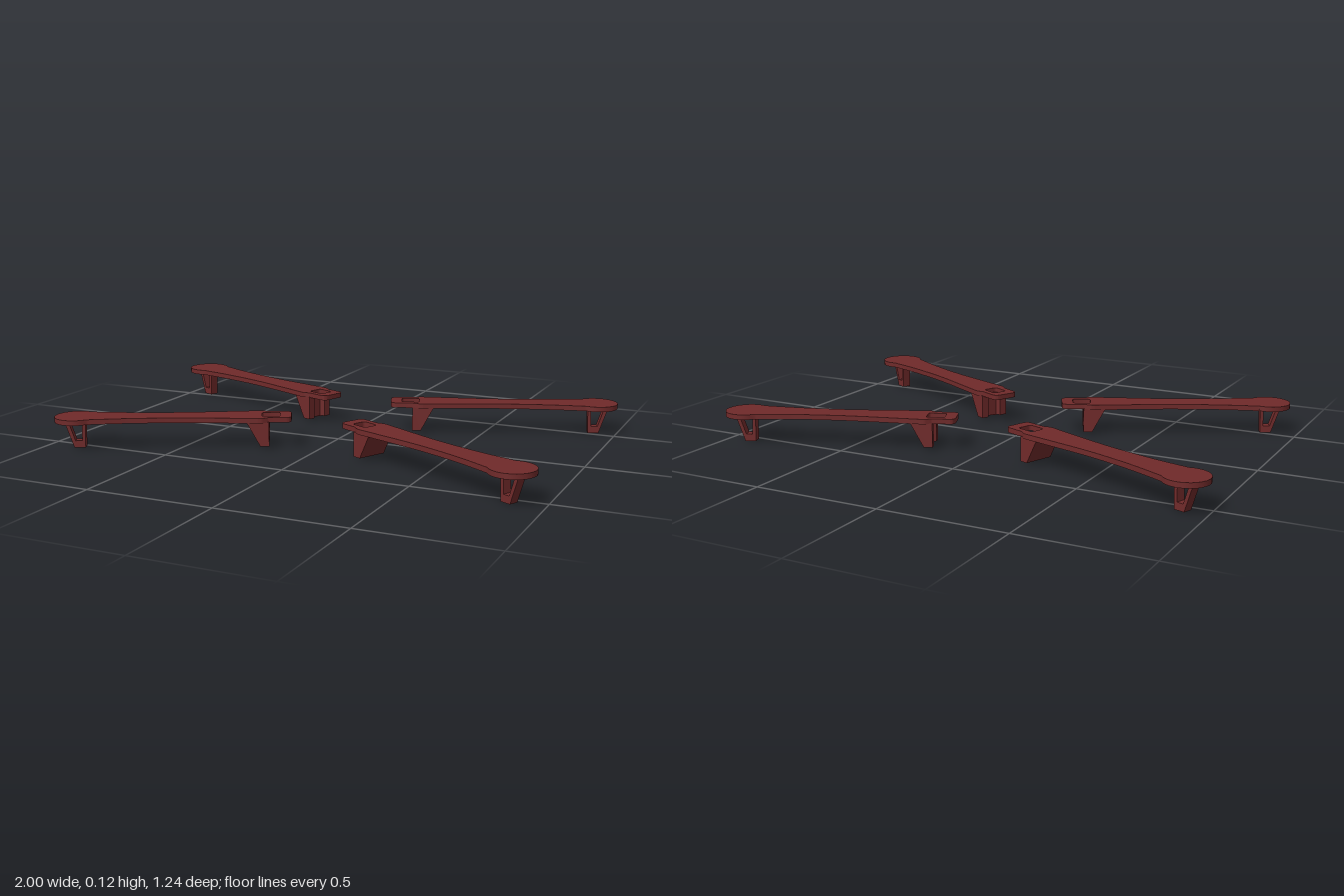
import * as THREE from 'three';
import { toCreasedNormals } from 'three/addons/utils/BufferGeometryUtils.js';

const LENGTH = 0.84;      // inner tip to centre of the round end pad
const PLATE_Y = 0.104, PLATE_T = 0.02;
const material = new THREE.MeshStandardMaterial({ color: 0x702a2a });

// Extrudes a plan-view shape upwards: x along the arm, y up
function extrudeUp(shape, height, y) {
  const geo = new THREE.ExtrudeGeometry(shape, { depth: height, bevelEnabled: false, curveSegments: 10 });
  geo.rotateX(-Math.PI / 2).translate(0, y, 0);
  return geo;
}

function part(name, geometry) {
  const mesh = new THREE.Mesh(toCreasedNormals(geometry, 0.6), material);
  mesh.name = name;
  return mesh;
}

// Waisted plate: slotted tab, shoulders, narrow middle and round end pad
function plateGeometry() {
  const s = new THREE.Shape();
  const v = (x, y) => new THREE.Vector2(x, y);
  s.moveTo(0, -0.03);
  s.quadraticCurveTo(0, -0.055, 0.025, -0.055);
  s.lineTo(0.085, -0.055);
  s.bezierCurveTo(0.1, -0.055, 0.1, -0.068, 0.13, -0.068);
  s.splineThru([v(0.2, -0.063), v(0.43, -0.049), v(0.63, -0.053), v(LENGTH - 0.05, -0.069)]);
  s.absarc(LENGTH, 0, 0.085, -2.198, 2.198, false);
  s.splineThru([v(0.63, 0.053), v(0.43, 0.049), v(0.2, 0.063), v(0.13, 0.068)]);
  s.bezierCurveTo(0.1, 0.068, 0.1, 0.055, 0.085, 0.055);
  s.lineTo(0.025, 0.055);
  s.quadraticCurveTo(0, 0.055, 0, 0.03);
  s.closePath();

  const hole = new THREE.Path();
  hole.moveTo(0.055, -0.03);
  hole.lineTo(0.107, -0.03);
  hole.quadraticCurveTo(0.117, -0.03, 0.117, -0.02);
  hole.lineTo(0.117, 0.02);
  hole.quadraticCurveTo(0.117, 0.03, 0.107, 0.03);
  hole.lineTo(0.055, 0.03);
  hole.quadraticCurveTo(0.045, 0.03, 0.045, 0.02);
  hole.lineTo(0.045, -0.02);
  hole.quadraticCurveTo(0.045, -0.03, 0.055, -0.03);
  s.holes.push(hole);
  return extrudeUp(s, PLATE_T, PLATE_Y);
}

// Notched wedge under the tab; its outer face leans inward towards the foot
function wedgeGeometry() {
  const outline = [
    [0.088, -0.06], [0.175, -0.06], [0.175, 0.06], [0.088, 0.06],
    [0.088, 0.03], [0.108, 0.022], [0.108, -0.022], [0.088, -0.03],
  ].map(([x, y]) => new THREE.Vector2(x, y));
  const geo = extrudeUp(new THREE.Shape(outline), 0.096, 0.01);
  const p = geo.attributes.position;
  for (let i = 0; i < p.count; i++) {
    if (p.getX(i) > 0.15 && p.getY(i) < 0.05) p.setX(i, 0.123);
  }
  geo.computeVertexNormals();
  return geo;
}

// Open tapered hoop under the round end pad
function footGeometry() {
  const s = new THREE.Shape();
  s.moveTo(-0.033, 0);
  s.lineTo(0.01, 0);
  s.lineTo(0.046, 0.106);
  s.lineTo(-0.037, 0.106);
  s.closePath();
  const hole = new THREE.Path();
  hole.moveTo(-0.021, 0.028);
  hole.lineTo(-0.023, 0.095);
  hole.lineTo(0.027, 0.095);
  hole.lineTo(0.005, 0.028);
  hole.closePath();
  s.holes.push(hole);
  const geo = new THREE.ExtrudeGeometry(s, { depth: 0.036, bevelEnabled: false });
  return geo.translate(LENGTH, 0, -0.018);
}

export function createModel() {
  const model = new THREE.Group();
  model.name = 'armSet';

  // Centre of the end pad and of the inner tip for the front and back arms
  const arms = [
    { name: 'front', pad: [0.88, 0.535], tip: [0.135, 0.165] },
    { name: 'back', pad: [0.915, -0.54], tip: [0.13, -0.24] },
  ];
  for (const { name, pad, tip } of arms) {
    for (const side of [1, -1]) {
      const arm = new THREE.Group();
      arm.name = name + (side > 0 ? 'Left' : 'Right') + 'Arm';
      arm.add(
        part('armPlate', plateGeometry()),
        part('innerWedge', wedgeGeometry()),
        part('footHoop', footGeometry()),
      );
      const angle = Math.atan2(pad[1] - tip[1], side * (pad[0] - tip[0]));
      arm.rotation.y = -angle;
      arm.position.set(side * pad[0] - LENGTH * Math.cos(angle), 0, pad[1] - LENGTH * Math.sin(angle));
      model.add(arm);
    }
  }
  return model;
}
